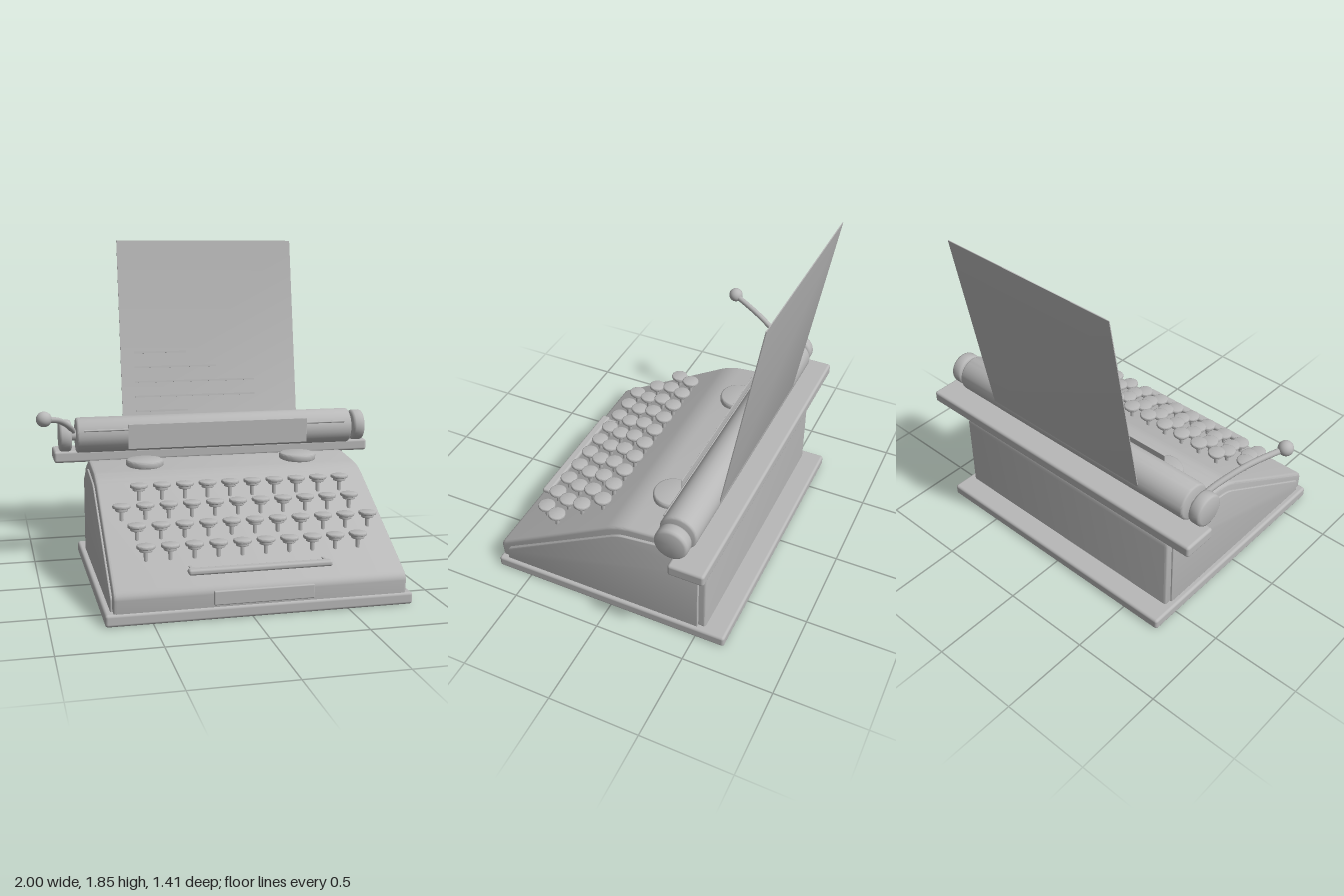
import * as THREE from 'three';
import { toCreasedNormals } from 'three/addons/utils/BufferGeometryUtils.js';
import { RoundedBoxGeometry } from 'three/addons/geometries/RoundedBoxGeometry.js';

export function createModel() {
  const model = new THREE.Group();
  const grey = new THREE.MeshStandardMaterial({ color: 0xb8b8b8 });
  grey.name = 'plain grey';

  const add = (name, geometry, x = 0, y = 0, z = 0, parent = model) => {
    const mesh = new THREE.Mesh(geometry, grey);
    mesh.name = name;
    mesh.position.set(x, y, z);
    parent.add(mesh);
    return mesh;
  };

  // rounded box given by its limits
  const block = (name, [x0, x1], [y0, y1], [z0, z1], r) =>
    add(name, new RoundedBoxGeometry(x1 - x0, y1 - y0, z1 - z0, 3, r),
      (x0 + x1) / 2, (y0 + y1) / 2, (z0 + z1) / 2);

  // side profile of [z, y, corner radius] extruded across x
  const profile = (points, x0, x1, bevel) => {
    const shape = new THREE.Shape();
    const n = points.length;
    points.forEach(([z, y, r = 0], i) => {
      const corner = new THREE.Vector2(z, y);
      const toward = (p) => new THREE.Vector2(p[0], p[1]).sub(corner).setLength(r).add(corner);
      const a = toward(points[(i + n - 1) % n]);
      const b = toward(points[(i + 1) % n]);
      if (i === 0) shape.moveTo(a.x, a.y);
      else shape.lineTo(a.x, a.y);
      if (r) shape.quadraticCurveTo(z, y, b.x, b.y);
    });
    shape.closePath();
    const g = new THREE.ExtrudeGeometry(shape, {
      depth: x1 - x0 - 2 * bevel, curveSegments: 8,
      bevelEnabled: bevel > 0, bevelSize: bevel, bevelThickness: bevel, bevelOffset: -bevel, bevelSegments: 3,
    });
    g.rotateY(-Math.PI / 2).translate(x1 - bevel, 0, 0);
    return toCreasedNormals(g, 0.6);
  };

  // turned part with softened rims, axis along y
  const disc = (radius, height, bevel, segments = 32) => {
    const h = height / 2;
    const pts = [[0, -h], [radius - bevel, -h], [radius - bevel * 0.3, -h + bevel * 0.3], [radius, -h + bevel],
      [radius, h - bevel], [radius - bevel * 0.3, h - bevel * 0.3], [radius - bevel, h], [0, h]];
    return toCreasedNormals(
      new THREE.LatheGeometry(pts.map(([x, y]) => new THREE.Vector2(x, y)), segments), 0.85);
  };

  // base and housing
  block('basePlate', [-0.735, 0.845], [0, 0.063], [-0.665, 0.70], 0.015);
  add('housing', profile([
    [0.69, 0.055], [0.70, 0.155, 0.035], [-0.04, 0.59, 0.07], [-0.35, 0.622, 0.06],
    [-0.545, 0.535, 0.05], [-0.545, 0.055],
  ], -0.695, 0.81, 0.015));
  const panel = [[0.65, 0.06], [0.65, 0.135, 0.02], [-0.05, 0.54, 0.04], [-0.33, 0.575, 0.03],
    [-0.505, 0.485, 0.02], [-0.505, 0.06]];
  add('sidePanelLeft', profile(panel, 0.79, 0.825, 0.004));
  add('sidePanelRight', profile(panel, -0.705, -0.67, 0.004));
  block('frontPlate', [-0.20, 0.315], [0.075, 0.147], [0.67, 0.708], 0.006);

  // keyboard: z, cap height, first key x, key count
  const keys = new THREE.Group();
  keys.name = 'keyboard';
  model.add(keys);
  const capGeo = disc(0.048, 0.018, 0.006, 20);
  const collarGeo = disc(0.034, 0.02, 0.005, 16);
  const stemGeo = new THREE.CylinderGeometry(0.011, 0.011, 0.1, 10);
  [[0.132, 0.563, -0.48, 10], [0.255, 0.487, -0.59, 11], [0.38, 0.412, -0.53, 11], [0.507, 0.337, -0.505, 10]]
    .forEach(([z, y, x0, count]) => {
      for (let i = 0; i < count; i++) {
        const x = x0 + i * 0.124;
        add('keyCap', capGeo, x, y, z, keys);
        add('keyCollar', collarGeo, x, y - 0.015, z, keys);
        add('keyStem', stemGeo, x, y - 0.06, z, keys);
      }
    });

  // space bar on two arms
  block('spaceBar', [-0.315, 0.427], [0.216, 0.246], [0.605, 0.655], 0.012);
  for (const x of [-0.29, 0.405]) block('spaceBarArm', [x - 0.009, x + 0.009], [0.222, 0.24], [0.50, 0.62], 0.004);

  // ribbon spools
  for (const x of [-0.392, 0.50]) add('ribbonSpool', disc(0.105, 0.045, 0.01, 40), x, 0.615, -0.215);

  // carriage with roller
  block('carriageRail', [-0.88, 1.0], [0.593, 0.66], [-0.61, -0.415], 0.015);
  const along = (name, geometry, x) => {
    add(name, geometry, x, 0.753, -0.413).rotation.z = Math.PI / 2;
  };
  along('roller', disc(0.101, 1.627, 0.012, 48), 0.057);
  along('rollerAxle', new THREE.CylinderGeometry(0.03, 0.03, 1.75, 16), 0.053);
  along('rollerKnobRight', disc(0.09, 0.07, 0.015, 40), -0.818);
  along('rollerKnobLeft', disc(0.09, 0.07, 0.015, 40), 0.924);
  add('paperBail', new THREE.CylinderGeometry(0.006, 0.006, 1.535, 10), 0.053, 0.79, -0.318)
    .rotation.z = Math.PI / 2;

  // return lever
  const leverPath = new THREE.CatmullRomCurve3([
    new THREE.Vector3(-0.775, 0.785, -0.37), new THREE.Vector3(-0.80, 0.82, -0.30),
    new THREE.Vector3(-0.87, 0.883, -0.14), new THREE.Vector3(-0.96, 0.922, 0.05),
  ]);
  add('returnLever', new THREE.TubeGeometry(leverPath, 24, 0.016, 12));
  add('returnLeverKnob', new THREE.SphereGeometry(0.041, 24, 16), -0.962, 0.924, 0.05);

  // paper sheet running behind the roller and up, with its front flap
  add('paper', profile([
    [-0.698, 1.85], [-0.507, 0.74], [-0.473, 0.67], [-0.477, 0.67], [-0.512, 0.74], [-0.703, 1.85],
  ], -0.47, 0.585, 0));
  block('paperFlap', [-0.47, 0.585], [0.68, 0.82], [-0.306, -0.301], 0.001);

  // typed lines as thin strips on the sheet
  const slope = (0.698 - 0.507) / (1.85 - 0.74);
  [[1.20, -0.08], [1.115, 0.10], [1.03, 0.33], [0.945, 0.33], [0.86, -0.08]].forEach(([y, x1]) => {
    const line = add('typedLine', new THREE.BoxGeometry(x1 + 0.39, 0.01, 0.005),
      (x1 - 0.39) / 2, y, -0.507 - (y - 0.74) * slope);
    line.rotation.x = -Math.atan(slope);
  });

  return model;
}
